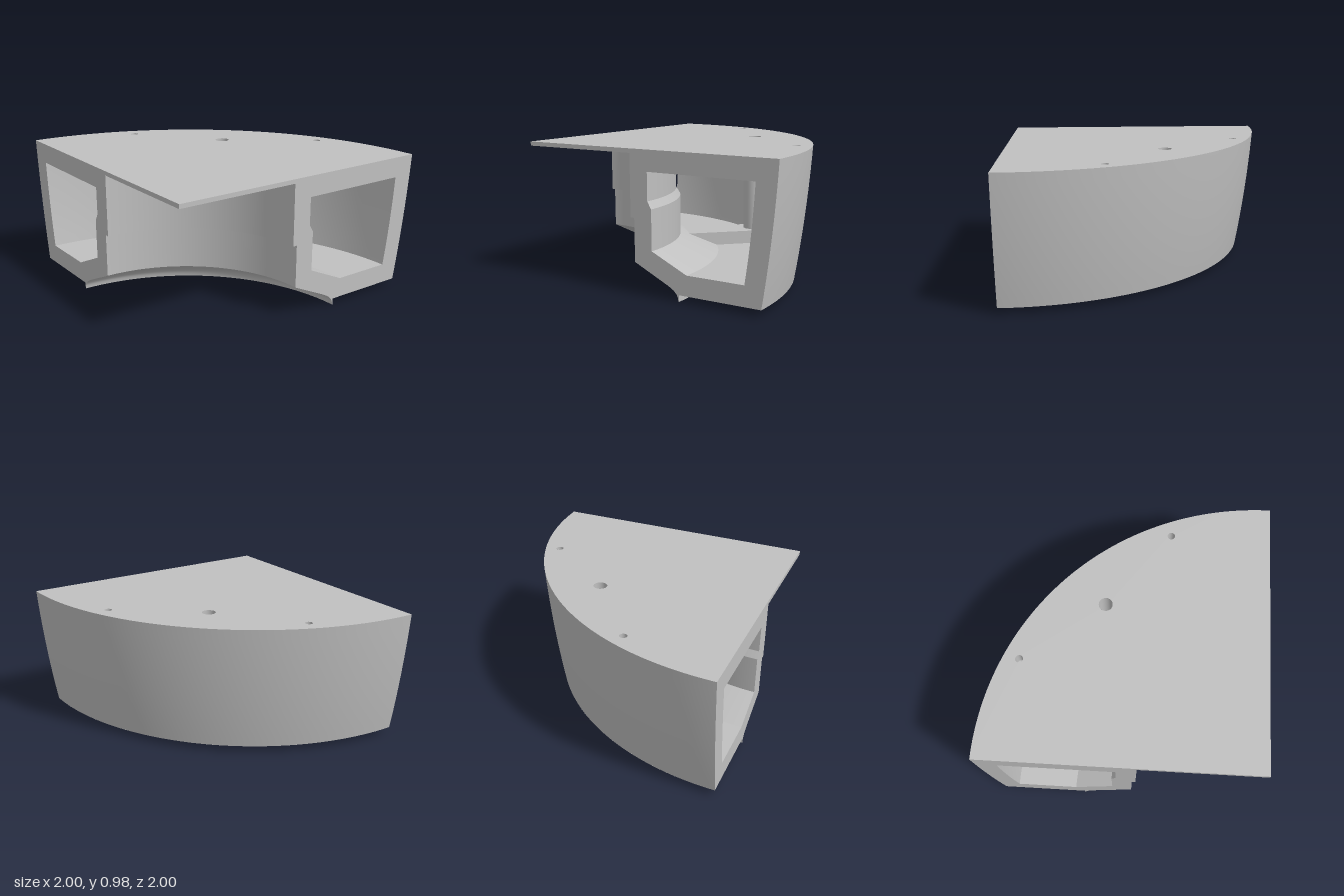
import * as THREE from 'three';

const Q = Math.PI / 2;
const V = (x, y) => new THREE.Vector2(x, y);

export function createModel() {
  const grey = new THREE.MeshStandardMaterial({ color: 0xc0c0c0, side: THREE.DoubleSide });
  grey.name = 'plainGrey';

  const model = new THREE.Group();
  model.name = 'quarterRingHousing';
  // everything is built around the ring axis, which sits at one corner
  const ring = new THREE.Group();
  ring.name = 'quarterRing';
  ring.position.set(-1, 0, 1);
  model.add(ring);

  const add = (name, geometry, parent = ring) => {
    const mesh = new THREE.Mesh(geometry, grey);
    mesh.name = name;
    parent.add(mesh);
    return mesh;
  };
  // a quarter turn of one smooth run of profile points
  const sweep = (name, pts) => add(name, new THREE.LatheGeometry(pts, 64, Q, Q));
  const sharp = (name, pts) => {
    for (let i = 1; i < pts.length; i++) sweep(name, [pts[i - 1], pts[i]]);
  };
  const curve = (a, mid, b) => {
    const c = V(mid.x * 2 - (a.x + b.x) / 2, mid.y * 2 - (a.y + b.y) / 2);
    return new THREE.QuadraticBezierCurve(a, c, b).getPoints(12);
  };
  const circle = (x, y, r) => new THREE.Path().absarc(x, y, r, 0, Math.PI * 2);
  // flat quarter ring with round holes given as [radius, angle, size]
  const sector = (name, r0, r1, y, up, holes) => {
    const s = up ? 1 : -1;
    const shape = new THREE.Shape();
    shape.moveTo(r0, 0).lineTo(r1, 0);
    shape.absarc(0, 0, r1, 0, s * Q, s < 0);
    if (r0 > 0) shape.absarc(0, 0, r0, s * Q, 0, s > 0);
    for (const [r, a, size] of holes) {
      shape.holes.push(circle(r * Math.cos(a), s * r * Math.sin(a), size));
    }
    const g = new THREE.ShapeGeometry(shape, 64);
    g.rotateX(-s * Q).translate(0, y, 0);
    add(name, g);
  };
  const tube = (name, r, a, size, y0, y1) => {
    const g = new THREE.CylinderGeometry(size, size, y1 - y0, 32, 1, true);
    g.translate(r * Math.cos(a), (y0 + y1) / 2, -r * Math.sin(a));
    add(name, g);
  };

  // cross-section of the shell
  const outer = curve(V(1.885, 0.045), V(1.953, 0.5), V(2, 0.98));
  const inner = [V(0, 0.95), V(0.89, 0.95), V(0.89, 0.52), V(0.92, 0.52), V(0.92, 0.22), V(1.19, 0.095)];
  const fillet = [V(1.19, 0.095), V(1.23, 0.072), V(1.255, 0.048), V(1.267, 0.024), V(1.27, 0)];
  const lip = [V(1.27, 0), V(1.275, 0), V(1.275, 0.045)];
  sweep('outerWall', outer);
  sharp('innerWall', inner);
  sweep('lipFillet', fillet);
  sharp('lip', lip);

  // cross-section of the hollow, wound the other way
  const hollowOuter = curve(V(1.84, 0.835), V(1.81, 0.5), V(1.765, 0.185));
  const hollowInner = [V(1.335, 0.185), V(1.06, 0.31), V(1.06, 0.59), V(1.03, 0.64), V(1.03, 0.835)];
  sweep('hollowOuterWall', hollowOuter);
  sharp('hollowInnerWall', hollowInner);

  // flat faces, pierced by the bolt bore and two blind screw holes
  const mid = Q / 2, boltR = 1.655;
  const screws = [[1.888, Q * 0.251, 0.027], [1.888, Q * 0.749, 0.027]];
  sector('topPlate', 0, 2, 0.98, true, [[boltR, mid, 0.05], ...screws]);
  sector('underside', 1.275, 1.885, 0.045, false, [[boltR, mid, 0.08]]);
  sector('hollowFloor', 1.335, 1.765, 0.185, true, [[boltR, mid, 0.09]]);
  sector('hollowCeiling', 1.03, 1.84, 0.835, false, [[boltR, mid, 0.06]]);

  // end faces with the opening of the hollow
  for (const side of [1, -1]) {
    const flip = (pts) => pts.map((p) => V(side * p.x, p.y));
    const shape = new THREE.Shape(flip([...outer, V(0, 0.98), ...inner, ...fillet.slice(1), ...lip.slice(1)]));
    shape.holes.push(new THREE.Path(flip([...hollowOuter, ...hollowInner])));
    const g = new THREE.ShapeGeometry(shape);
    if (side < 0) g.rotateY(-Q);
    add(side > 0 ? 'frontEnd' : 'leftoverEnd'.replace('leftover', 'right'), g);
  }

  // bolt column, its bore and the counterbore below
  tube('boltColumn', boltR, mid, 0.085, 0.27, 0.835);
  tube('boltBore', boltR, mid, 0.05, 0.16, 0.98);
  tube('counterbore', boltR, mid, 0.08, 0.045, 0.16);
  for (const [r, a, size] of screws) {
    tube('screwHole', r, a, size, 0.87, 0.98);
    const g = new THREE.CircleGeometry(size, 24).rotateX(-Q);
    add('screwHoleBottom', g.translate(r * Math.cos(a), 0.87, -r * Math.sin(a)));
  }

  // raised step and wall rib in the middle of the hollow
  const brace = new THREE.Group();
  brace.name = 'middleBrace';
  brace.rotation.y = mid;
  ring.add(brace);
  const half = 0.126;
  const plan = new THREE.Shape([V(1.09, -half), V(1.78, -half), V(1.78, half), V(1.09, half)]);
  plan.holes.push(circle(boltR, 0, 0.05));
  const step = new THREE.ExtrudeGeometry(plan, { depth: 0.12, bevelEnabled: false, curveSegments: 16 });
  add('floorStep', step.rotateX(-Q).translate(0, 0.16, 0), brace);
  const ribProfile = new THREE.Shape([V(1.68, 0.17), V(1.8, 0.17), V(1.88, 0.86), V(1.755, 0.86)]);
  for (const z of [-half, half - 0.07]) {
    const rib = new THREE.ExtrudeGeometry(ribProfile, { depth: 0.07, bevelEnabled: false });
    add('wallRib', rib.translate(0, 0, z), brace);
  }
  return model;
}
